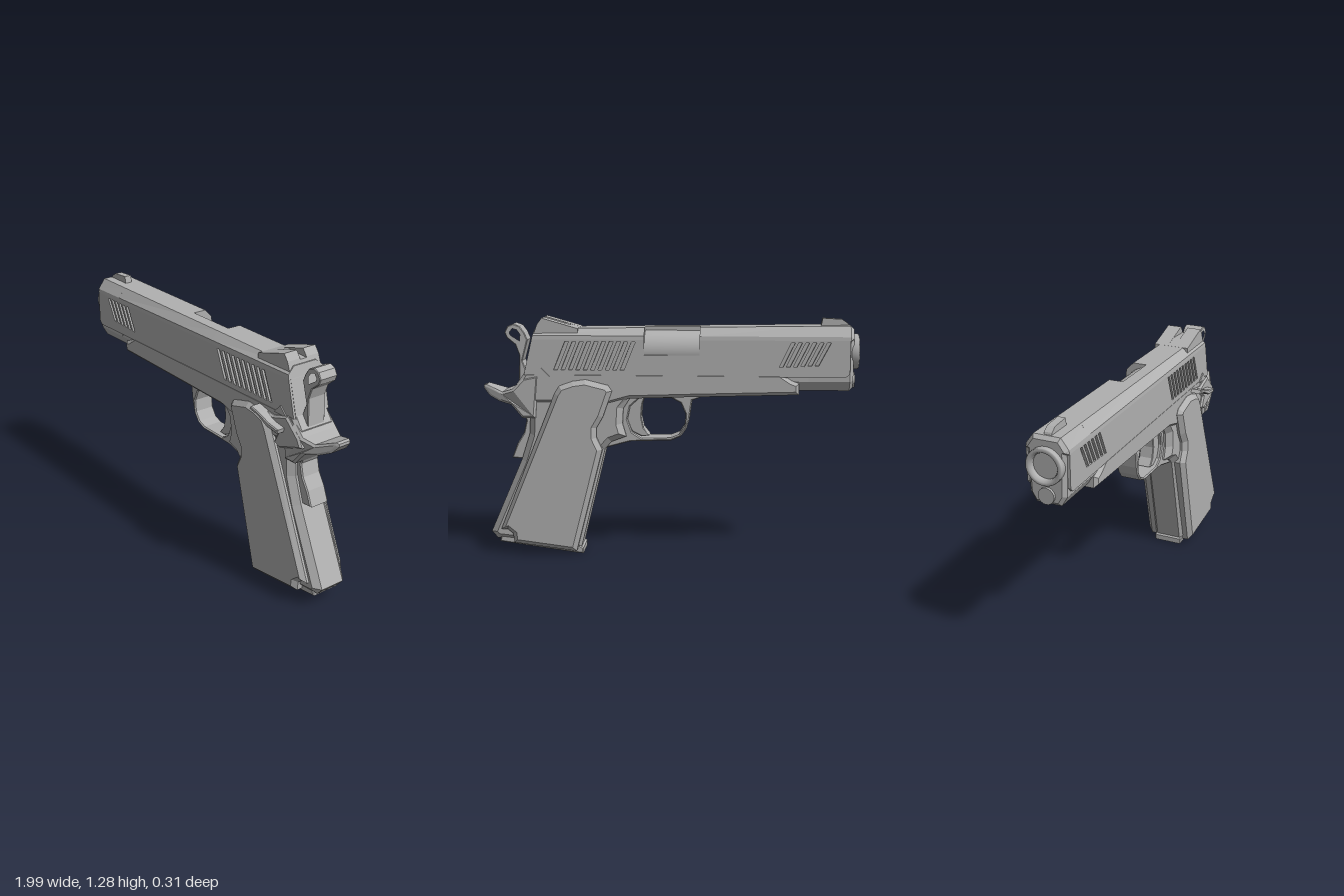
import * as THREE from 'three';

const CZ = -0.017; // middle plane of the body

export function createModel() {
  const root = new THREE.Group();
  root.name = 'pistol';
  const metal = new THREE.MeshStandardMaterial({ color: 0xb0b0b0 });
  metal.name = 'grey metal';

  const makeShape = (pts, holes = []) => {
    const s = new THREE.Shape(pts.map(p => new THREE.Vector2(...p)));
    for (const h of holes) s.holes.push(new THREE.Path(h.map(p => new THREE.Vector2(...p))));
    return s;
  };
  const extrude = (pts, length, bevel, holes) => new THREE.ExtrudeGeometry(makeShape(pts, holes), {
    depth: length - 2 * bevel, bevelEnabled: bevel > 0, bevelSize: bevel,
    bevelThickness: bevel, bevelOffset: -bevel, bevelSegments: 1, curveSegments: 12,
  }).translate(0, 0, bevel);
  const add = (name, geo) => {
    const m = new THREE.Mesh(geo, metal);
    m.name = name;
    root.add(m);
    return m;
  };
  // Side outline in (x, y), spanning z0..z1 measured from the middle plane
  const side = (name, pts, z0, z1, bevel = 0, holes = []) =>
    add(name, extrude(pts, z1 - z0, bevel, holes).translate(0, 0, CZ + z0));
  // Cross-section in (z, y), spanning x0..x1
  const along = (name, pts, x0, x1, bevel = 0, holes = []) =>
    add(name, extrude(pts, x1 - x0, bevel, holes).rotateY(-Math.PI / 2).translate(x1, 0, CZ));
  // Move vertices by a rule
  const bend = (mesh, rule) => {
    const p = mesh.geometry.attributes.position, v = new THREE.Vector3();
    for (let i = 0; i < p.count; i++) {
      v.fromBufferAttribute(p, i);
      rule(v);
      p.setXYZ(i, v.x, v.y, v.z);
    }
    mesh.geometry.computeVertexNormals();
  };
  const mirrorZ = pts => [...pts, ...pts.map(([z, y]) => [-z, y]).reverse()];
  const circle = (cx, cy, r, n = 20) => Array.from({ length: n }, (_, i) => {
    const a = i / n * Math.PI * 2;
    return [cx + r * Math.cos(a), cy + r * Math.sin(a)];
  });

  // Slide core, with the top sloping gently to the rear
  const slope = v => { if (v.y > 1.21) v.y -= 0.013 * v.x; };
  const section = mirrorZ([[0.1, 0.975], [0.1, 1.165], [0.112, 1.17], [0.11, 1.19], [0.07, 1.232]]);
  const noseSection = mirrorZ([[0.065, 0.905], [0.095, 0.955], [0.1, 1.165], [0.112, 1.17], [0.11, 1.19], [0.07, 1.232]]);
  const portSection = [[0.1, 0.975], [0.1, 1.165], [0.112, 1.17], [0.11, 1.19], [0.07, 1.232],
    [0.005, 1.232], [0.005, 1.09], [-0.1, 1.09], [-0.1, 0.975]];
  bend(along('slideNose', noseSection, -0.97, -0.72, 0.018, [circle(0, 1.105, 0.07)]), slope);
  bend(along('slideFront', section, -0.76, -0.17), slope);
  bend(along('slidePort', portSection, -0.17, 0.12), slope);
  bend(along('slideRear', section, 0.12, 0.735), v => {
    slope(v);
    if (v.x > 0.7) v.x += (1.08 - v.y) * 0.25;
  });
  along('springTunnel', mirrorZ([[0.065, 0.905], [0.095, 0.955], [0.095, 1.0]]), -0.78, -0.58);

  // Slide side plates with slanted grooves cut through them
  const grooves = [];
  const groove = (x, y0, y1, lean) =>
    grooves.push([[x, y1], [x + 0.02, y1], [x + lean + 0.02, y0], [x + lean, y0]]);
  for (let i = 0; i < 6; i++) groove(-0.85 + i * 0.037, 1.04 - i * 0.002, 1.16, 0.062);
  for (let i = 0; i < 10; i++) groove(0.165 + i * 0.039, 1.01, 1.16, 0.062);
  const plateLeft = [[-0.95, 1.0], [-0.93, 0.98], [0.757, 0.98], [0.712, 1.17], [-0.95, 1.17]];
  const plateRight = [...plateLeft.slice(0, 4), [0.12, 1.17], [0.12, 1.09], [-0.17, 1.09], [-0.17, 1.17], [-0.95, 1.17]];
  side('slideSideLeft', plateLeft, 0.098, 0.112, 0, grooves);
  side('slideSideRight', plateRight, -0.112, -0.098, 0, grooves);

  // Barrel chamber in the port, muzzle tube and spring plug
  add('barrelChamber', new THREE.CylinderGeometry(0.106, 0.106, 0.3, 32)
    .rotateZ(Math.PI / 2).translate(-0.025, 1.105, CZ));
  add('muzzle', new THREE.LatheGeometry(
    [[0, 0.2], [0.066, 0.2], [0.066, 0.015], [0.074, 0], [0.09, 0], [0.093, 0.006], [0.093, 0.06], [0.075, 0.06], [0.075, 0.2]]
      .reverse().map(p => new THREE.Vector2(...p)), 32)
    .rotateZ(-Math.PI / 2).translate(-1, 1.105, CZ));
  const bore = root.children.at(-1);
  bore.material = metal.clone();
  bore.material.side = THREE.DoubleSide;
  add('springPlug', new THREE.CylinderGeometry(0.042, 0.042, 0.06, 20)
    .rotateZ(Math.PI / 2).translate(-0.953, 0.955, CZ));

  // Sights
  side('frontSight', [[-0.95, 1.23], [-0.94, 1.255], [-0.91, 1.275], [-0.81, 1.28], [-0.8, 1.23]], -0.02, 0.02);
  const rear = [[0.47, 1.2], [0.47, 1.226], [0.66, 1.28], [0.685, 1.245], [0.714, 1.165], [0.6, 1.165]];
  side('rearSightLeft', rear, 0.02, 0.098);
  side('rearSightRight', rear, -0.098, -0.02);
  side('rearSightMiddle', [[0.47, 1.2], [0.47, 1.226], [0.55, 1.247], [0.687, 1.24], [0.714, 1.165]], -0.021, 0.021);

  // Frame under the slide
  side('frame', [[-0.69, 0.885], [-0.69, 0.945], [-0.65, 0.96], [-0.59, 1.0], [0.75, 1.0], [0.8, 0.93],
    [0.8, 0.83], [0.3, 0.83], [0.2, 0.858], [-0.1, 0.868]], -0.113, 0.113, 0.018);
  for (const s of [1, -1])
    side('frameNotch', [[0.62, 0.975], [0.71, 0.975], [0.665, 1.02]], s > 0 ? 0.1 : -0.119, s > 0 ? 0.119 : -0.1);

  // Grip core
  side('gripCore', [[0.19, 0.87], [0.235, 0.8], [0.24, 0.72], [0.22, 0.65], [0.3, 0.62], [0.335, 0.58],
    [0.47, 0.03], [0.93, 0.078], [0.962, 0.115], [0.785, 0.52], [0.74, 0.66], [0.735, 0.75], [0.8, 0.84],
    [0.7, 0.93], [0.3, 0.9]], -0.102, 0.102, 0.032);
  side('magazineBase', [[0.458, 0.0], [0.458, 0.03], [0.5, 0.06], [0.91, 0.1], [0.915, 0.06], [0.5, 0.003]], -0.083, 0.083, 0.006);

  // Grip panels, one per side
  const panel = [[0.29, 0.9], [0.31, 0.93], [0.43, 0.96], [0.5, 0.95], [0.57, 0.925], [0.595, 0.885],
    [0.9, 0.14], [0.865, 0.14], [0.835, 0.115], [0.83, 0.065], [0.49, 0.022], [0.345, 0.585],
    [0.375, 0.65], [0.375, 0.7], [0.34, 0.76]];
  side('gripPanelLeft', panel, 0.04, 0.14, 0.025);
  side('gripPanelRight', panel, -0.14, -0.04, 0.025);

  // Trigger guard and trigger
  side('triggerGuard', [[-0.2, 0.872], [-0.13, 0.845], [-0.115, 0.74], [-0.1, 0.69], [-0.07, 0.65], [-0.02, 0.628],
    [0.2, 0.62], [0.33, 0.585], [0.32, 0.8], [0.26, 0.875]], -0.06, 0.06, 0.006,
  [[[-0.02, 0.857], [-0.07, 0.83], [-0.096, 0.77], [-0.09, 0.705], [-0.06, 0.66], [-0.015, 0.642],
    [0.14, 0.638], [0.19, 0.67], [0.215, 0.74], [0.2, 0.81], [0.15, 0.855]]]);
  side('trigger', [[0.12, 0.87], [0.137, 0.82], [0.143, 0.75], [0.13, 0.69], [0.098, 0.65], [0.14, 0.645],
    [0.19, 0.67], [0.23, 0.74], [0.22, 0.87]], -0.04, 0.04, 0.004);

  // Beavertail narrowing to its tip, and the tab below it
  bend(side('beavertail', [[0.68, 0.98], [0.76, 0.965], [0.82, 0.905], [0.88, 0.885], [0.975, 0.92], [0.99, 0.915],
    [0.99, 0.9], [0.955, 0.86], [0.9, 0.835], [0.83, 0.82], [0.77, 0.75], [0.7, 0.75]], -0.118, 0.118, 0.012), v => {
    const t = THREE.MathUtils.clamp((v.x - 0.82) / 0.17, 0, 1);
    v.z = CZ + (v.z - CZ) * (1 - 0.68 * t);
  });
  side('gripSafety', [[0.66, 0.84], [0.85, 0.835], [0.79, 0.79], [0.759, 0.73], [0.775, 0.66], [0.812, 0.6],
    [0.842, 0.522], [0.7, 0.515]], -0.058, 0.058, 0.006);

  // Thumb safety: flat plate and raised shelf
  side('safetyPlate', [[0.55, 0.965], [0.62, 0.955], [0.72, 0.985], [0.81, 0.9], [0.83, 0.855], [0.67, 0.8],
    [0.63, 0.82], [0.66, 0.88]], 0.09, 0.128, 0.01);
  side('safetyLever', [[0.495, 0.96], [0.51, 0.978], [0.57, 0.962], [0.64, 0.935], [0.71, 0.922], [0.705, 0.9],
    [0.63, 0.91], [0.56, 0.945]], 0.1, 0.172, 0.005);

  // Hammer with a ring-shaped spur
  side('hammer', [[0.73, 0.93], [0.775, 1.05], [0.745, 1.16], [0.762, 1.2], [0.785, 1.232], [0.82, 1.245], [0.85, 1.232],
    [0.866, 1.2], [0.855, 1.172], [0.81, 1.135], [0.79, 1.08], [0.795, 0.93]], -0.054, 0.054, 0.004,
  [[[0.785, 1.15], [0.779, 1.19], [0.798, 1.217], [0.825, 1.225], [0.845, 1.2], [0.838, 1.182]]]);

  return root;
}
